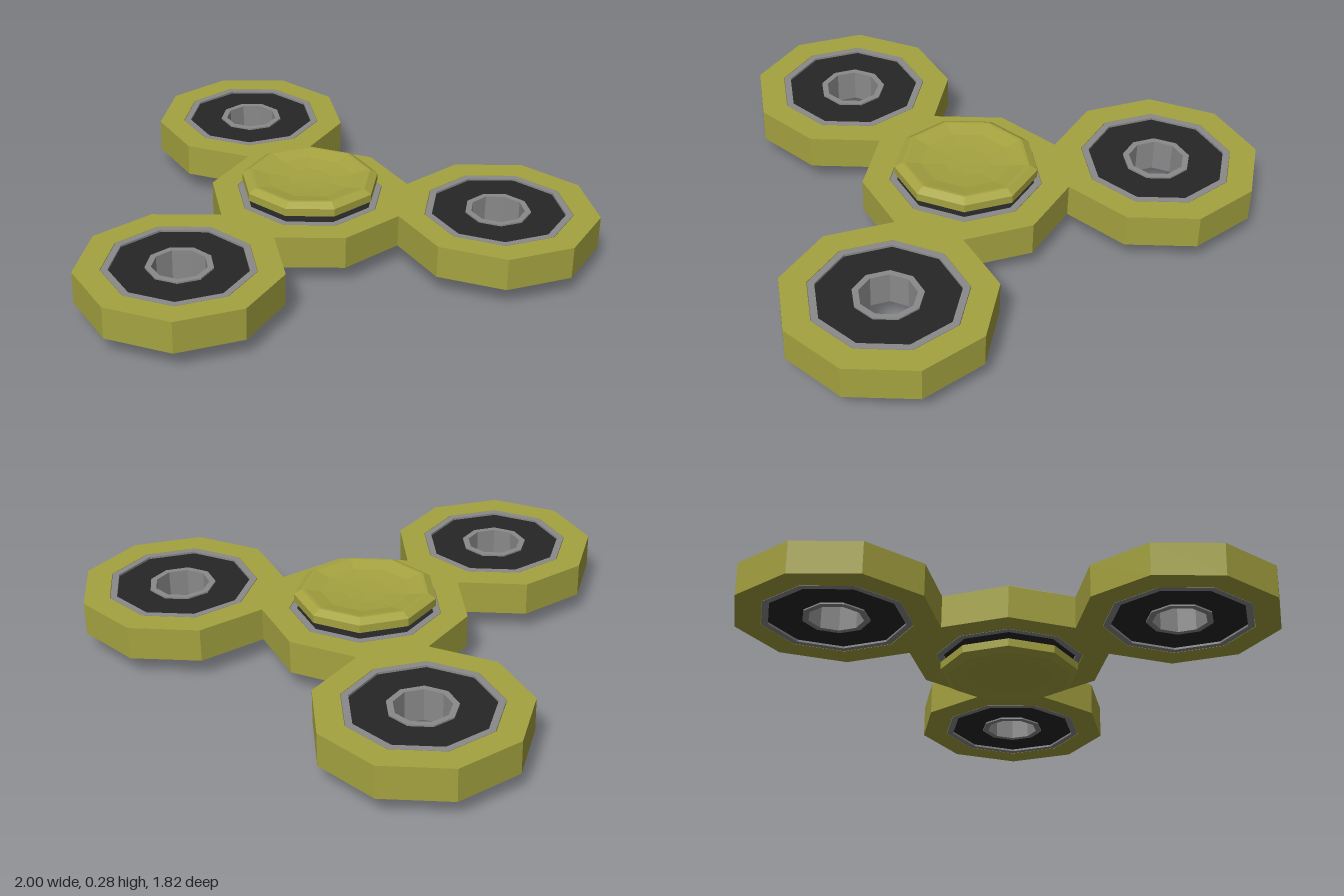
import * as THREE from 'three';

const SIDES = 9;
const R = 0.382;            // outer radius of each nine-sided lobe
const REACH = 0.718;        // hub centre to lobe centre
const HUB_Z = -0.191;
const BOTTOM = 0.076, TOP = 0.202, MID = 0.139;
const BORE = 0.283;         // bearing seat radius
const STEP = (Math.PI * 2) / SIDES;

const paint = (color) => new THREE.MeshStandardMaterial({ color, flatShading: true });

export function createModel() {
  const model = new THREE.Group();
  model.name = 'spinner';
  const olive = paint(0xa5a340), black = paint(0x262626), metal = paint(0x8a8a8a);

  // Nine-sided turned part from a [radius, y] profile
  const turned = (name, profile, material) => {
    const points = profile.map(([r, y]) => new THREE.Vector2(r, y));
    const mesh = new THREE.Mesh(new THREE.LatheGeometry(points, SIDES), material);
    mesh.name = name;
    return mesh;
  };

  // Point at a given angle from +z, in the shape plane (x, -z)
  const polar = (r, a, cx = 0, cz = 0) =>
    new THREE.Vector2(cx + r * Math.sin(a), -(cz + r * Math.cos(a)));

  // Hub centre followed by the three lobe centres
  const seats = [{ x: 0, z: 0, turn: Math.PI }];
  for (let k = 0; k < 3; k++) {
    const turn = (k * Math.PI * 2) / 3;
    seats.push({ x: REACH * Math.sin(turn), z: REACH * Math.cos(turn), turn });
  }

  // Body: one outline round the lobes, with four bearing holes
  const outline = [];
  for (const { x, z, turn } of seats.slice(1)) {
    for (let i = -4; i <= 4; i++) outline.push(polar(R, turn + i * STEP, x, z));
    outline.push(polar(R, turn + Math.PI / 3));
  }
  const shape = new THREE.Shape(outline);
  for (const { x, z, turn } of seats) {
    const hole = [];
    for (let i = 0; i < SIDES; i++) hole.push(polar(BORE, turn - i * STEP, x, z));
    shape.holes.push(new THREE.Path(hole));
  }
  const bodyGeometry = new THREE.ExtrudeGeometry(shape, { depth: TOP - BOTTOM, bevelEnabled: false });
  bodyGeometry.rotateX(-Math.PI / 2).translate(0, BOTTOM, 0);
  const body = new THREE.Mesh(bodyGeometry, olive);
  body.name = 'body';
  model.add(body);

  // Bearings: outer race, recessed seal and inner race
  const ring = (inner, outer, half) => [
    [inner, MID - half], [outer, MID - half], [outer, MID + half], [inner, MID + half], [inner, MID - half],
  ];
  const half = (TOP - BOTTOM) / 2;
  for (const { x, z, turn } of seats) {
    const bearing = new THREE.Group();
    bearing.name = 'bearing';
    bearing.add(
      turned('outerRace', ring(0.255, BORE - 0.002, half), metal),
      turned('seal', ring(0.12, 0.257, half - 0.008), black),
      turned('innerRace', ring(0.102, 0.125, half - 0.002), metal),
    );
    bearing.position.set(x, 0, z);
    bearing.rotation.y = turn;
    model.add(bearing);
  }

  // Finger grip: post through the hub and a dished cap on each side
  const grip = new THREE.Group();
  grip.name = 'fingerGrip';
  grip.rotation.y = Math.PI;
  grip.add(turned('post', [[0.09, 0.045], [0.09, 0.235]], olive));
  const capProfile = [
    [0, 0.23], [0.264, 0.23], [0.264, 0.26], [0.235, 0.277], [0.225, 0.277],
    [0.165, 0.264], [0.085, 0.257], [0, 0.255],
  ];
  grip.add(turned('topCap', capProfile, olive));
  const mirrored = capProfile.map(([r, y]) => [r, 2 * MID - 0.001 - y]).reverse();
  grip.add(turned('bottomCap', mirrored, olive));
  model.add(grip);

  // Centre the whole on z
  for (const part of model.children) part.position.z += HUB_Z;
  return model;
}
